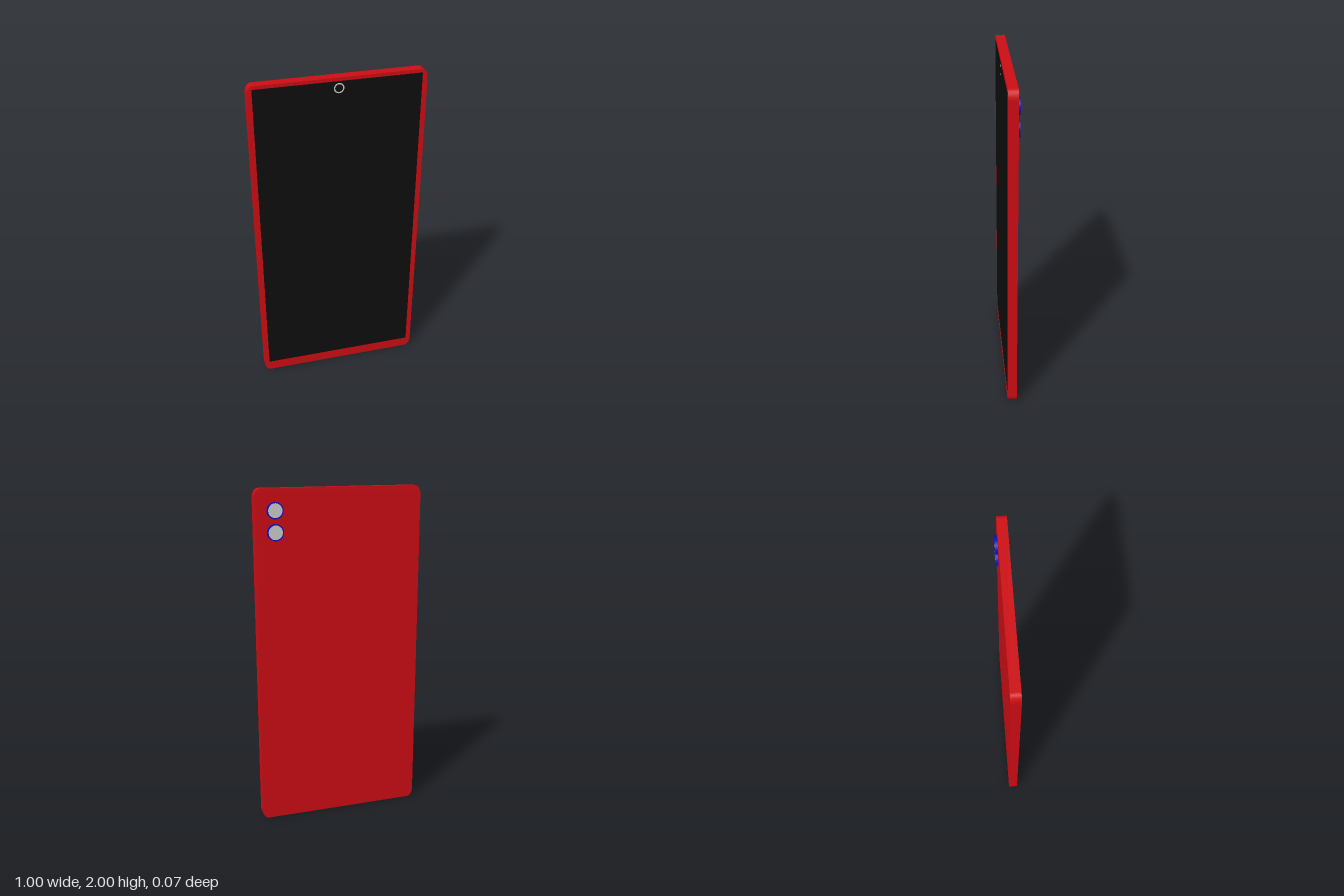
import * as THREE from 'three';

const material = (color) => new THREE.MeshStandardMaterial({ color });

// Upright rectangle with elliptical corners
function slabShape(halfWidth, height, rx, ry) {
  const s = new THREE.Shape();
  s.moveTo(halfWidth, ry);
  s.absellipse(halfWidth - rx, height - ry, rx, ry, 0, Math.PI / 2);
  s.absellipse(-halfWidth + rx, height - ry, rx, ry, Math.PI / 2, Math.PI);
  s.absellipse(-halfWidth + rx, ry, rx, ry, Math.PI, Math.PI * 1.5);
  s.absellipse(halfWidth - rx, ry, rx, ry, Math.PI * 1.5, Math.PI * 2);
  return s;
}

// Flat ring extruded along +z
function ringGeometry(outer, inner, depth) {
  const s = new THREE.Shape().absarc(0, 0, outer, 0, Math.PI * 2);
  s.holes.push(new THREE.Path().absarc(0, 0, inner, 0, Math.PI * 2, true));
  return new THREE.ExtrudeGeometry(s, { depth, bevelEnabled: false, curveSegments: 24 });
}

export function createModel() {
  const model = new THREE.Group();
  const red = material(0xcc0d14);
  const black = material(0x0d0d0d);
  const blue = material(0x0a14c0);
  const grey = material(0xcccccc);
  const back = -0.022, front = 0.033;

  function add(name, geometry, mat, x, y, z, parent = model) {
    const mesh = new THREE.Mesh(geometry, mat);
    mesh.name = name;
    mesh.position.set(x, y, z);
    parent.add(mesh);
    return mesh;
  }

  // Case
  const body = new THREE.ExtrudeGeometry(slabShape(0.5, 2, 0.037, 0.055),
    { depth: front - back, bevelEnabled: false, curveSegments: 6 });
  add('body', body, red, 0, 0, back);

  // Screen, almost flush with the front face
  add('screen', new THREE.BoxGeometry(0.94, 1.915, 0.01), black, 0, 1.0225, front - 0.0042);

  // Front camera ring
  add('frontCameraRing', ringGeometry(0.029, 0.022, 0.002), grey, 0, 1.94, front - 0.0006);

  // Two rear cameras: raised blue rim around a grey lens
  [1.878, 1.756].forEach((y, i) => {
    const camera = new THREE.Group();
    camera.name = i ? 'lowerRearCamera' : 'upperRearCamera';
    camera.position.set(0.383, y, back);
    model.add(camera);
    add('rim', ringGeometry(0.048, 0.041, 0.015), blue, 0, 0, -0.015, camera);
    const lens = new THREE.CylinderGeometry(0.0412, 0.0412, 0.014, 32).rotateX(Math.PI / 2);
    add('lens', lens, grey, 0, 0, -0.007, camera);
  });

  return model;
}
